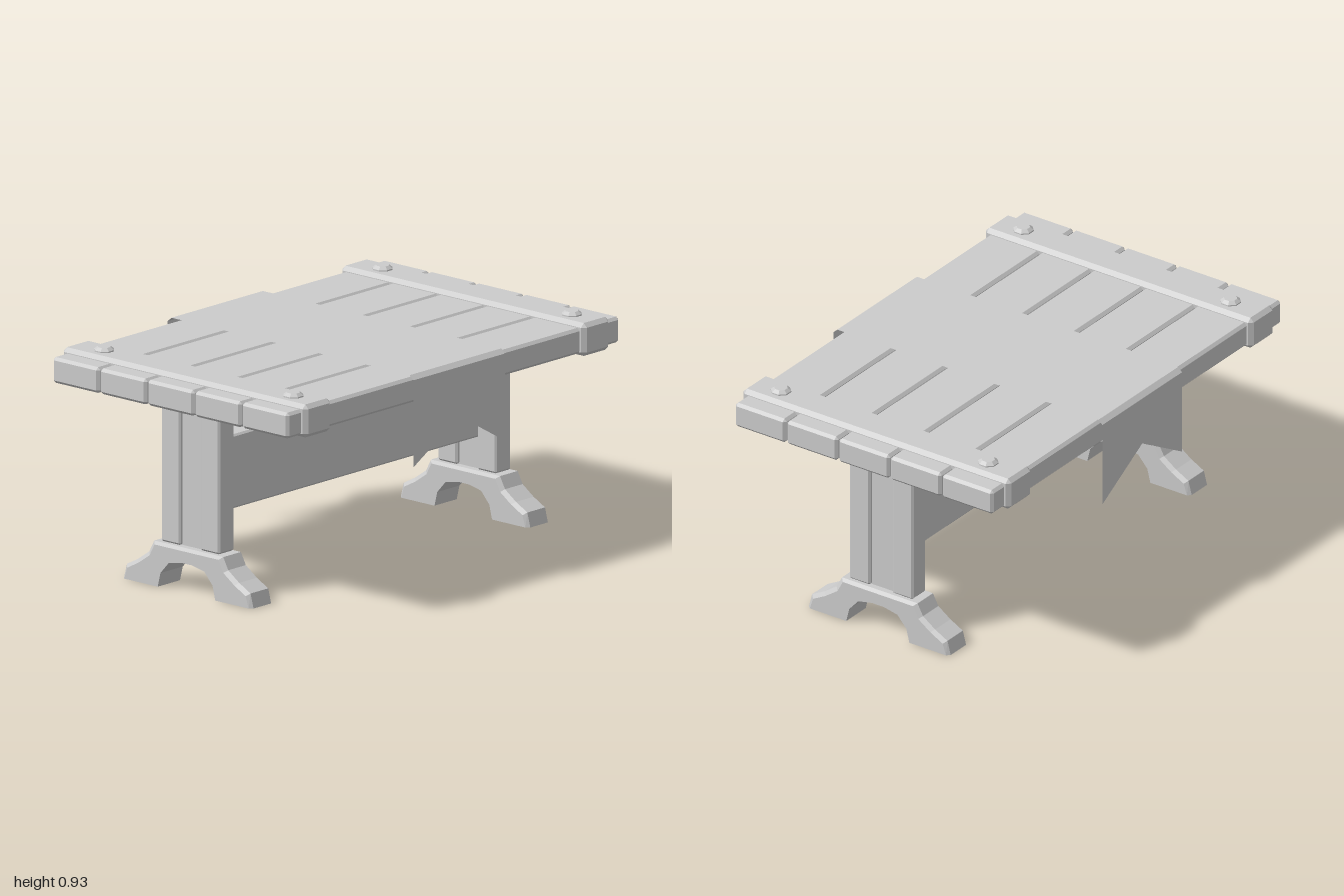
import * as THREE from 'three';
import { ConvexGeometry } from 'three/addons/geometries/ConvexGeometry.js';

const material = new THREE.MeshStandardMaterial({ color: 0xcccccc, flatShading: true });
const clothMaterial = new THREE.MeshStandardMaterial({
  color: 0xcccccc, flatShading: true, side: THREE.DoubleSide,
});

// Box with every edge chamfered by c, centred on its origin
function chamferBox(w, h, d, c) {
  const points = [];
  for (const sx of [-1, 1]) for (const sy of [-1, 1]) for (const sz of [-1, 1]) {
    const x = w / 2, y = h / 2, z = d / 2;
    points.push(
      new THREE.Vector3(sx * x, sy * (y - c), sz * (z - c)),
      new THREE.Vector3(sx * (x - c), sy * y, sz * (z - c)),
      new THREE.Vector3(sx * (x - c), sy * (y - c), sz * z),
    );
  }
  return new ConvexGeometry(points);
}

// Trestle foot: arched profile, with its upper outer edges chamfered
function footGeometry(width, c) {
  const outer = [[0.353, 0], [0.337, 0.06], [0.275, 0.093], [0.215, 0.135], [0.188, 0.185]];
  const arch = [[0.097, 0.11], [0.142, 0.06], [0.157, 0]];
  const mirror = (list) => list.map(([z, y]) => [-z, y]).reverse();
  const outline = [...outer, ...mirror(outer), ...mirror(arch), [0, 0.13], ...arch];
  const shape = new THREE.Shape(outline.map(([z, y]) => new THREE.Vector2(z, y)));
  const geometry = new THREE.ExtrudeGeometry(shape, { depth: 3, steps: 3, bevelEnabled: false });

  const layers = [-width / 2, -width / 2 + c, width / 2 - c, width / 2];
  const p = geometry.attributes.position;
  for (let i = 0; i < p.count; i++) {
    const layer = Math.round(p.getZ(i));
    const z = p.getX(i), y = p.getY(i);
    p.setZ(i, layers[layer]);
    if ((layer === 0 || layer === 3) && Math.abs(z) > 0.16) {
      p.setX(i, z - Math.sign(z) * c);
      if (y > 0) p.setY(i, y - c * 0.8);
    }
  }
  geometry.rotateY(-Math.PI / 2);
  geometry.computeVertexNormals();
  return geometry;
}

// Cloth draped front to back, each end cut to a swallowtail
function runnerGeometry() {
  const half = [[0.65, 0.908], [0.67, 0.89], [0.67, 0.525]];
  const rows = [...half.map(([z, y]) => [-z, y]).reverse(), ...half];
  const geometry = new THREE.PlaneGeometry(0.55, 1, 2, rows.length - 1);
  const p = geometry.attributes.position;
  for (let i = 0; i < p.count; i++) {
    const row = Math.floor(i / 3);
    const notch = (row === 0 || row === rows.length - 1) && i % 3 === 1;
    p.setY(i, notch ? 0.684 : rows[row][1]);
    p.setZ(i, rows[row][0]);
  }
  const flat = geometry.toNonIndexed();
  flat.computeVertexNormals();
  return flat;
}

export function createModel() {
  const model = new THREE.Group();
  model.name = 'trestleTable';

  const add = (parent, name, geometry, x = 0, y = 0, z = 0, mat = material) => {
    const mesh = new THREE.Mesh(geometry, mat);
    mesh.name = name;
    mesh.position.set(x, y, z);
    parent.add(mesh);
    return mesh;
  };

  // Five tabletop planks
  const top = new THREE.Group();
  top.name = 'tabletop';
  model.add(top);
  const plank = chamferBox(2, 0.108, 0.254, 0.012);
  for (let i = -2; i <= 2; i++) add(top, 'plank', plank, 0, 0.839, i * 0.258);

  // Cross battens with bolt heads
  const batten = chamferBox(0.162, 0.138, 1.334, 0.017);
  const bolt = new THREE.LatheGeometry(
    [[0.043, -0.005], [0.043, 0.006], [0.028, 0.018], [0, 0.018]].map(([r, y]) => new THREE.Vector2(r, y)), 8);
  bolt.rotateY(Math.PI / 8);

  // Trestle parts
  const outerPost = chamferBox(0.094, 0.6, 0.105, 0.008);
  const middlePost = new THREE.BoxGeometry(0.06, 0.6, 0.12);
  const foot = footGeometry(0.134, 0.014);

  for (const side of [-1, 1]) {
    const name = side > 0 ? 'left' : 'right';
    add(top, name + 'Batten', batten, side * 0.837, 0.844, 0);
    for (const z of [-0.505, 0.527]) add(top, name + 'Bolt', bolt, side * 0.837, 0.912, z);

    const trestle = new THREE.Group();
    trestle.name = name + 'Trestle';
    trestle.position.x = side * 0.832;
    model.add(trestle);
    for (const z of [-0.107, 0.107]) add(trestle, 'post', outerPost, 0, 0.487, z);
    add(trestle, 'middlePost', middlePost, 0, 0.487, 0);
    add(trestle, 'foot', foot);
  }

  // Long beam joining the trestles
  add(model, 'stretcher', chamferBox(1.64, 0.31, 0.11, 0.008), 0, 0.475, 0);

  // Table runner
  add(model, 'tableRunner', runnerGeometry(), 0.002, 0, 0, clothMaterial);

  return model;
}
